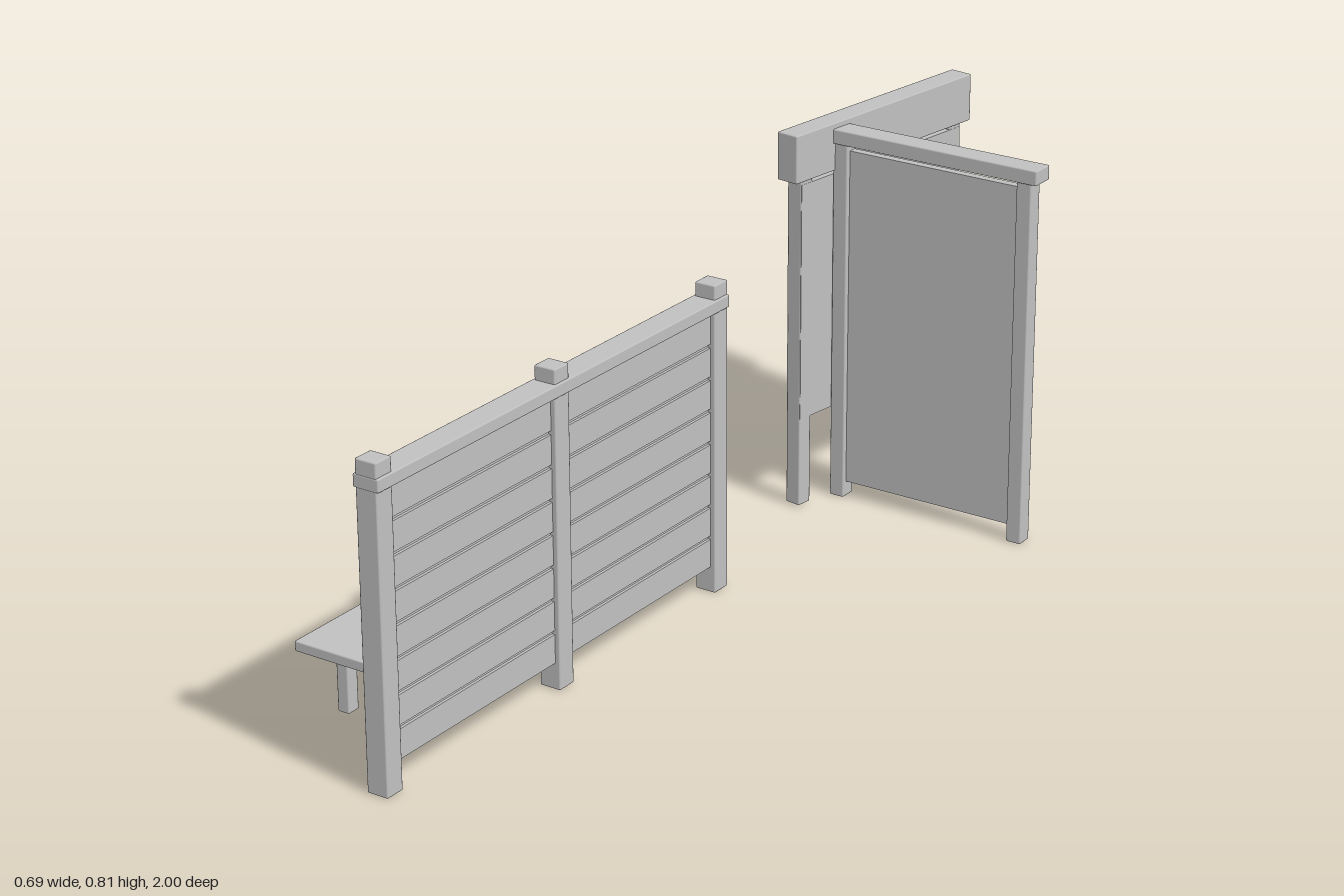
import * as THREE from 'three';
import { RoundedBoxGeometry } from 'three/addons/geometries/RoundedBoxGeometry.js';

export function createModel() {
  const model = new THREE.Group();
  model.name = 'fenceBenchAndScreens';
  const grey = new THREE.MeshStandardMaterial({ color: 0xc0c0c0 });
  grey.name = 'plain grey';

  const section = (name) => {
    const group = new THREE.Group();
    group.name = name;
    model.add(group);
    return group;
  };
  // Box given by its extents; a bevel above zero softens the edges
  const box = (parent, name, [x0, x1], [y0, y1], [z0, z1], bevel = 0.003) => {
    const size = [x1 - x0, y1 - y0, z1 - z0];
    const geometry = bevel
      ? new RoundedBoxGeometry(...size, 1, bevel)
      : new THREE.BoxGeometry(...size);
    const mesh = new THREE.Mesh(geometry, grey);
    mesh.name = name;
    mesh.position.set((x0 + x1) / 2, (y0 + y1) / 2, (z0 + z1) / 2);
    parent.add(mesh);
  };
  const around = (centre, half) => [centre - half, centre + half];

  // Slatted fence running front to back
  const fence = section('fence');
  const postZ = [0.977, 0.463, -0.051];
  postZ.forEach((z) => box(fence, 'fencePost', [-0.095, -0.049], [0, 0.645], around(z, 0.022)));
  box(fence, 'topRail', [-0.1, -0.044], [0.59, 0.616], [-0.073, 1]);
  box(fence, 'fenceBacking', [-0.083, -0.065], [0.06, 0.59], [-0.05, 0.975], 0);
  const pitch = 0.067;
  for (let i = 0; i < 8; i++) {
    const y = 0.055 + i * pitch;
    for (let bay = 0; bay < 2; bay++) {
      box(fence, 'fenceSlat', [-0.089, -0.059], [y, y + pitch - 0.008],
        [postZ[bay + 1] + 0.02, postZ[bay] - 0.02], 0);
    }
  }

  // Bench beside the fence
  const bench = section('bench');
  box(bench, 'seat', [-0.348, -0.144], [0.163, 0.184], [0.035, 0.885]);
  for (const x of [-0.322, -0.17]) {
    for (const z of [0.158, 0.772]) {
      box(bench, 'benchLeg', around(x, 0.013), [0.004, 0.165], around(z, 0.015));
    }
  }
  for (const y of [0.275, 0.345]) {
    box(bench, 'backrestSlat', [-0.167, -0.146], around(y, 0.024), [0.035, 0.885]);
  }

  // Turned screen with a deep header and raised panel
  const turned = section('turnedScreen');
  turned.position.set(-0.122, 0, -0.723);
  turned.rotation.y = -0.139;
  box(turned, 'screenHeader', around(0, 0.0255), [0.711, 0.812], around(0, 0.276));
  for (const z of [-0.235, 0.235]) {
    box(turned, 'screenPost', around(0, 0.0175), [0.003, 0.714], around(z, 0.0175));
  }
  box(turned, 'screenPanel', around(0, 0.018), [0.195, 0.702], around(0, 0.251), 0);

  // Cross screen with a thin panel between two posts
  const cross = section('crossScreen');
  box(cross, 'crossHeader', [-0.122, 0.347], [0.769, 0.8], [-0.609, -0.557]);
  for (const x of [-0.107, 0.316]) {
    box(cross, 'crossPost', around(x, 0.0165), [0, 0.772], around(-0.581, 0.018));
  }
  box(cross, 'crossPanel', [-0.093, 0.303], [0.033, 0.755], around(-0.583, 0.009), 0);

  return model;
}
